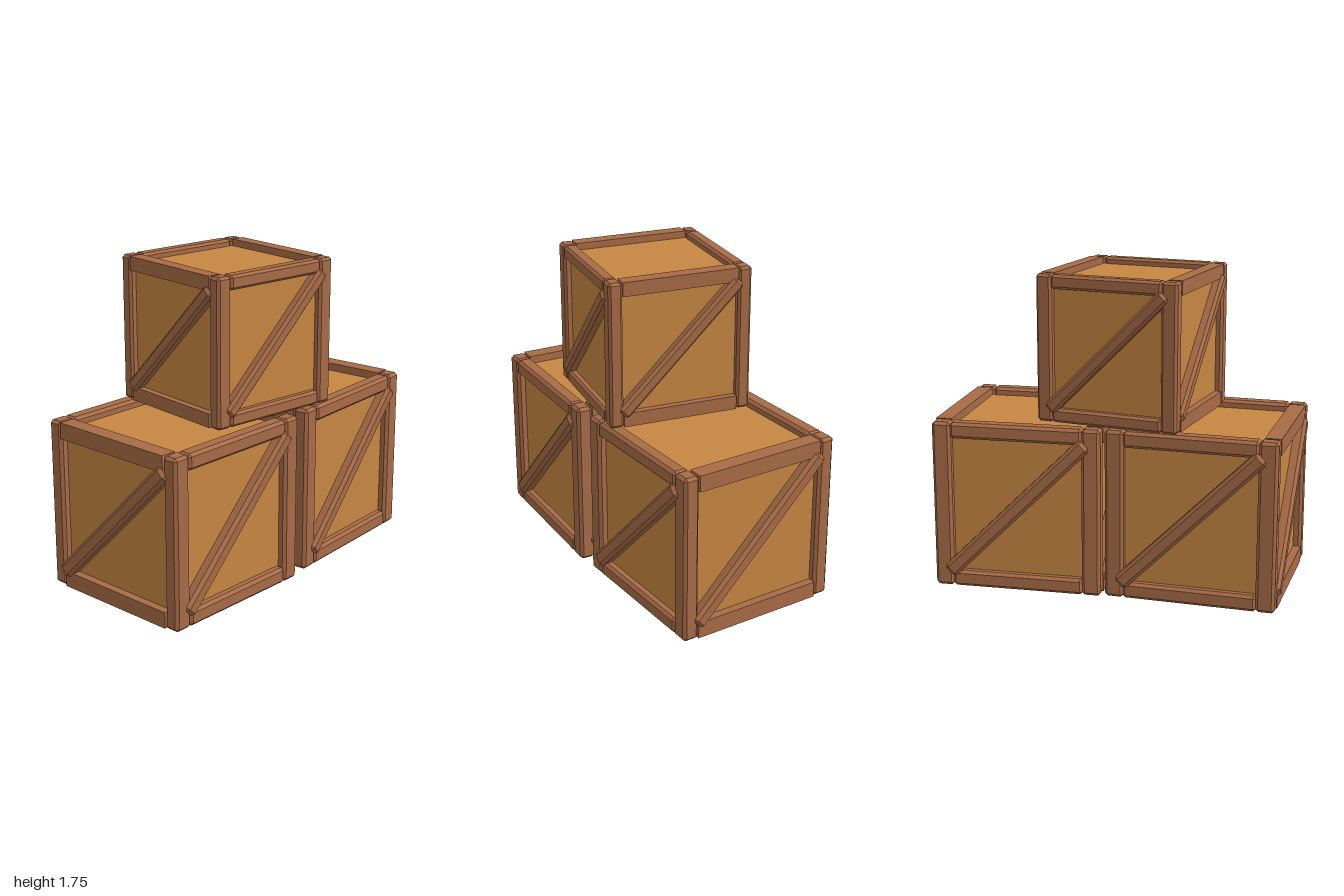
import * as THREE from 'three';
import { ConvexGeometry } from 'three/addons/geometries/ConvexGeometry.js';

const panelWood = new THREE.MeshStandardMaterial({ color: 0xc68642 });
panelWood.name = 'panelWood';
const frameWood = new THREE.MeshStandardMaterial({ color: 0xa86b47 });
frameWood.name = 'frameWood';

const HALF = 0.47;      // half the size of a full crate
const BEAM = 0.09;      // frame thickness
const POST_W = 0.105;   // posts are slightly wider across the front
const CHAMFER = 0.016;
const INSET = 0.045;    // how far the panels sit behind the frame

// Box with every edge cut at 45 degrees
function chamferBox(w, h, d, c = CHAMFER) {
  const points = [];
  for (const sx of [-1, 1]) for (const sy of [-1, 1]) for (const sz of [-1, 1]) {
    for (let axis = 0; axis < 3; axis++) {
      const cut = [c, c, c];
      cut[axis] = 0;
      points.push(new THREE.Vector3(sx * (w / 2 - cut[0]), sy * (h / 2 - cut[1]), sz * (d / 2 - cut[2])));
    }
  }
  return new ConvexGeometry(points);
}

function add(parent, name, geometry, material, x = 0, y = 0, z = 0) {
  const mesh = new THREE.Mesh(geometry, material);
  mesh.name = name;
  mesh.position.set(x, y, z);
  parent.add(mesh);
  return mesh;
}

const core = 2 * (HALF - INSET);
const panelGeo = new THREE.BoxGeometry(core, core, core);
const postGeo = chamferBox(POST_W, 2 * HALF, BEAM);
const frontRailGeo = chamferBox(2 * (HALF - POST_W) + 0.01, BEAM, BEAM);
const sideRailGeo = new THREE.BoxGeometry(BEAM, BEAM, 2 * (HALF - BEAM));
const braceGeo = chamferBox(1.095, 0.085, 0.08, 0.018);

// One crate, centred on its own origin
function makeCrate(name) {
  const crate = new THREE.Group();
  crate.name = name;
  add(crate, 'panels', panelGeo, panelWood);
  const edge = HALF - BEAM / 2;
  for (const a of [-1, 1]) for (const b of [-1, 1]) {
    add(crate, 'cornerPost', postGeo, frameWood, a * (HALF - POST_W / 2), 0, b * edge);
    add(crate, 'crossRail', frontRailGeo, frameWood, 0, a * edge, b * edge);
    add(crate, 'sideRail', sideRailGeo, frameWood, a * edge, b * edge, 0);
  }
  // Diagonal brace on each upright side
  for (let i = 0; i < 4; i++) {
    const side = new THREE.Group();
    side.name = 'braceSide';
    side.rotation.y = i * Math.PI / 2;
    add(side, 'diagonalBrace', braceGeo, frameWood, 0, 0, 0.487 - 0.04).rotation.z = Math.PI / 4;
    crate.add(side);
  }
  return crate;
}

export function createModel() {
  const model = new THREE.Group();
  model.name = 'crateStack';
  // name, x, base height, z, turn, scale
  const layout = [
    ['rightCrate', -0.512, 0, 0.042, 0, 1],
    ['leftCrate', 0.482, 0, -0.015, 0.08, 1],
    ['topCrate', -0.08, 0.94, 0.022, -0.112, 0.858],
  ];
  for (const [name, x, y, z, turn, scale] of layout) {
    const crate = makeCrate(name);
    crate.scale.setScalar(scale);
    crate.rotation.y = turn;
    crate.position.set(x, y + HALF * scale, z);
    model.add(crate);
  }
  return model;
}
